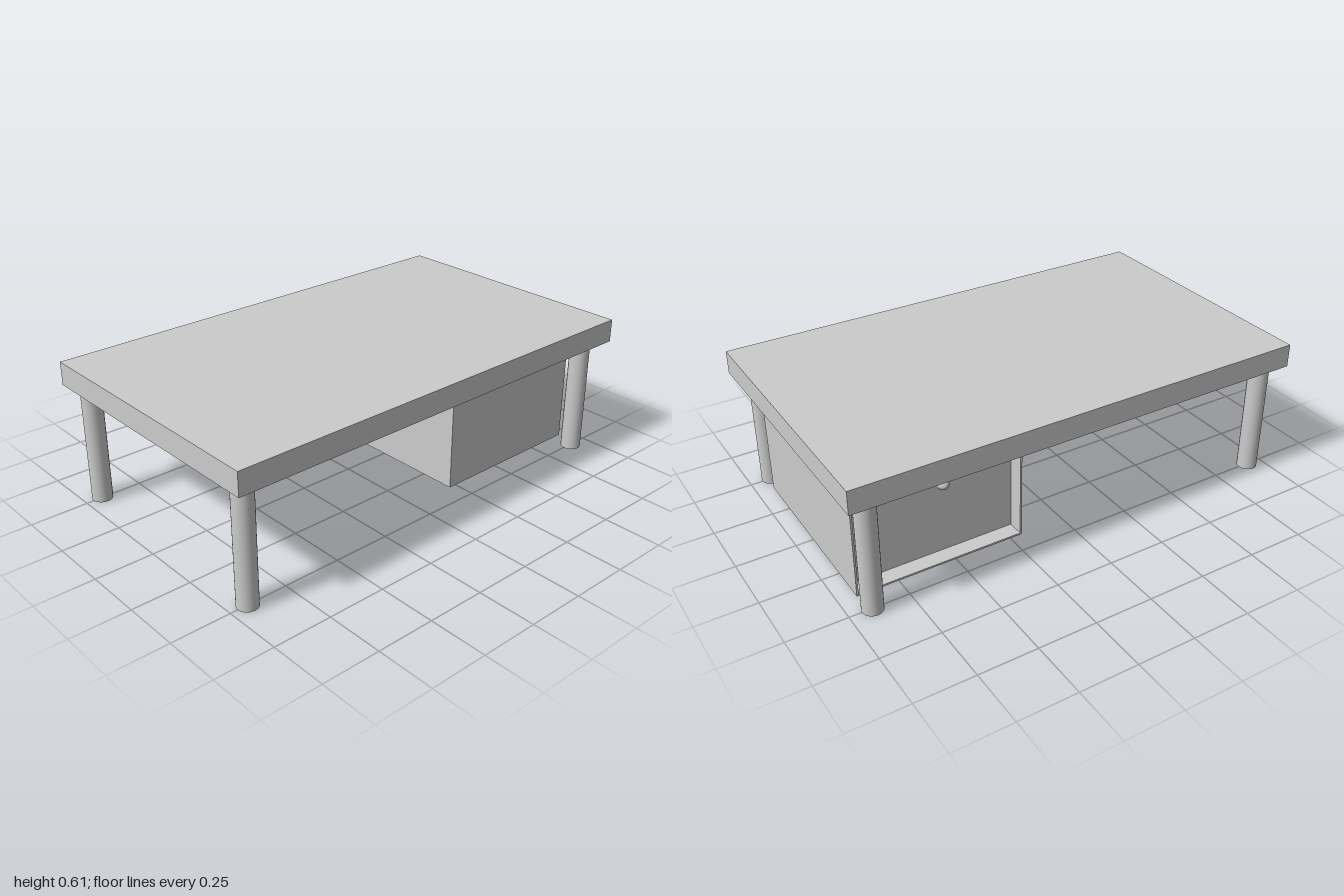
import * as THREE from 'three';

export function createModel() {
  const group = new THREE.Group();
  group.name = 'desk';
  const material = new THREE.MeshStandardMaterial({ color: 0xcccccc });

  const add = (name, geometry, x, y, z, parent = group) => {
    const mesh = new THREE.Mesh(geometry, material);
    mesh.name = name;
    mesh.position.set(x, y, z);
    parent.add(mesh);
    return mesh;
  };
  // Box given by its low and high corners
  const addBox = (name, [x0, y0, z0], [x1, y1, z1], parent) =>
    add(name, new THREE.BoxGeometry(x1 - x0, y1 - y0, z1 - z0),
      (x0 + x1) / 2, (y0 + y1) / 2, (z0 + z1) / 2, parent);

  // Table top
  const under = 0.51;
  addBox('tableTop', [-0.587, under, -1], [0.587, 0.61, 1]);

  // Four round legs
  const legGeometry = new THREE.CylinderGeometry(0.043, 0.043, under, 32);
  for (const [end, z] of [['front', 0.925], ['back', -0.905]]) {
    for (const [side, x] of [['Left', 0.502], ['Right', -0.502]]) {
      add(`${end}${side}Leg`, legGeometry, x, under / 2, z);
    }
  }

  // Cabinet: thin shell, open on its right side
  const cabinet = new THREE.Group();
  cabinet.name = 'cabinet';
  group.add(cabinet);
  const t = 0.008;
  const x0 = -0.42, x1 = 0.417, y0 = 0.01, z0 = -0.93, z1 = -0.203;
  addBox('cabinetBottom', [x0, y0, z0], [x1, y0 + t, z1], cabinet);
  addBox('cabinetBack', [x0, y0 + t, z0], [x1, under, z0 + t], cabinet);
  addBox('cabinetFront', [x0, y0 + t, z1 - t], [x1, under, z1], cabinet);
  addBox('cabinetSide', [x1 - t, y0 + t, z0 + t], [x1, under, z1 - t], cabinet);

  // Recessed door
  const doorX = -0.35;
  addBox('door', [doorX, y0 + t, z0 + t], [doorX + 0.02, under, z1 - t], cabinet);

  // Rounded peg knob on the door
  const profile = [new THREE.Vector2(0.026, 0), new THREE.Vector2(0.026, 0.09)];
  for (let i = 1; i <= 8; i++) {
    const a = (i / 8) * Math.PI / 2;
    profile.push(new THREE.Vector2(0.026 * Math.cos(a), 0.09 + 0.036 * Math.sin(a)));
  }
  const knob = add('doorKnob', new THREE.LatheGeometry(profile, 24),
    doorX, 0.405, (z0 + z1) / 2, cabinet);
  knob.rotation.z = Math.PI / 2;

  return group;
}
